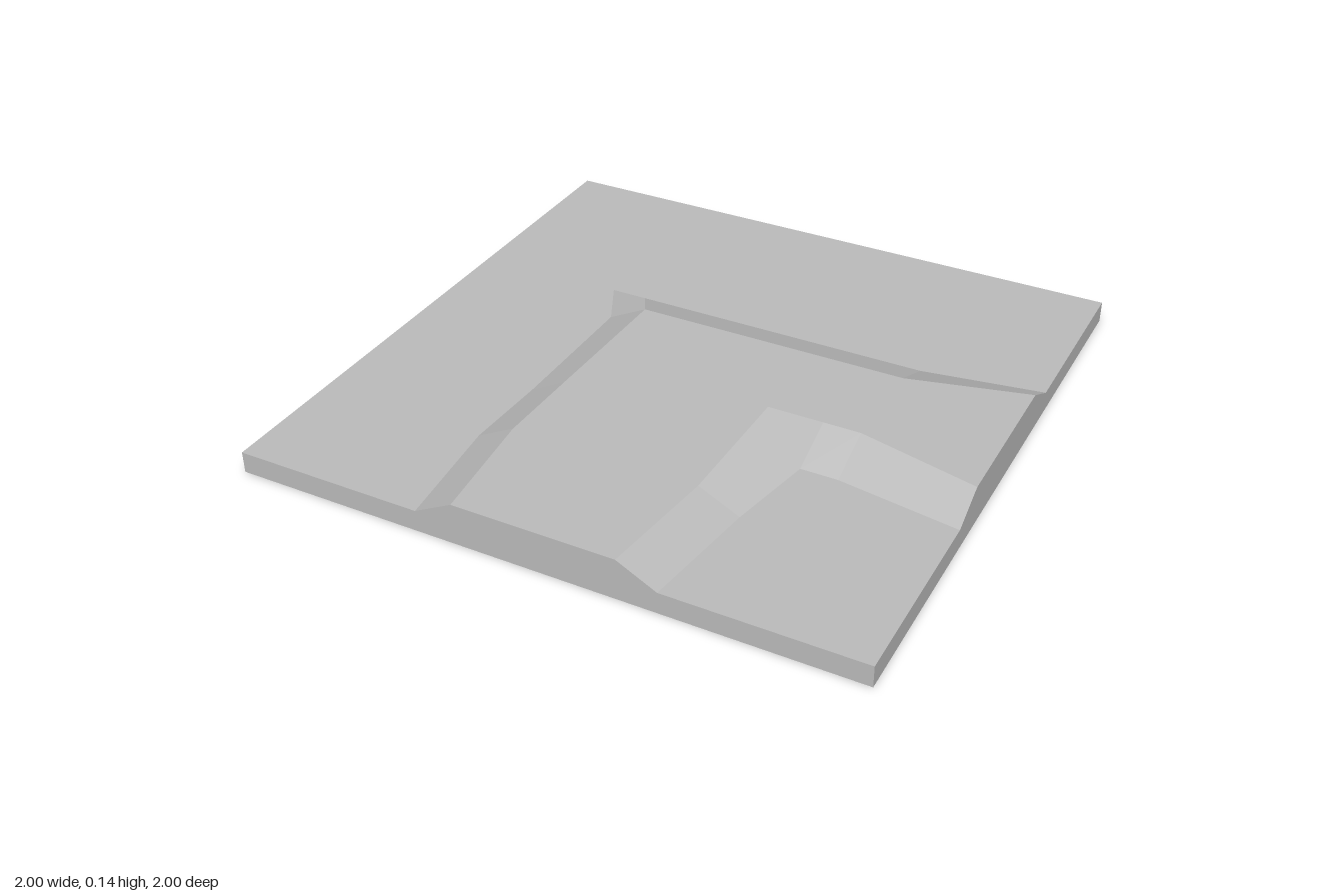
import * as THREE from 'three';

const LOW = 0.07, HIGH = 0.135;

// Outlines as [x, z]: crest of the embankment, and its foot on both sides
const westCrest = [[-0.26, 1], [-0.305, 0.61], [-0.3, 0.325], [-0.29, -0.165]];
const westFoot = [[-0.385, 1], [-0.43, 0.61], [-0.42, 0.325], [-0.42, -0.165]];
const cornerFoot = [[-0.5, -0.325], [-0.38, -0.325]];
const backCrest = [[-0.29, -0.165], [0.61, -0.165], [1, -0.26]];
const backFoot = [[-0.38, -0.325], [0.61, -0.325], [1, -0.385]];
const innerCrest = [[1, 0.26], [0.61, 0.165], [0.49, 0.165], [0.31, 0.165], [0.305, 0.61], [0.26, 1]];
const innerFoot = [[1, 0.385], [0.61, 0.325], [0.49, 0.325], [0.435, 0.61], [0.385, 1]];

// Flat face from a 2D outline
function face(points) {
  return new THREE.ShapeGeometry(new THREE.Shape(points.map(([a, b]) => new THREE.Vector2(a, b))));
}

// Horizontal face from an [x, z] outline
function level(points, y) {
  return face(points.map(([x, z]) => [x, -z])).rotateX(-Math.PI / 2).translate(0, y, 0);
}

// Slope facets: each polygon is a fan with one shared upward normal
function slopes(polygons) {
  const pos = [], nor = [];
  for (const poly of polygons) {
    let p = poly.map(([x, z, y]) => new THREE.Vector3(x, y, z));
    const n = new THREE.Vector3();
    p.forEach((v, i) => n.add(v.clone().cross(p[(i + 1) % p.length])));
    if (n.y < 0) {
      n.negate();
      p = [p[0], ...p.slice(1).reverse()];
    }
    n.normalize();
    for (let i = 1; i < p.length - 1; i++) {
      for (const v of [p[0], p[i], p[i + 1]]) {
        pos.push(v.x, v.y, v.z);
        nor.push(n.x, n.y, n.z);
      }
    }
  }
  const g = new THREE.BufferGeometry();
  g.setAttribute('position', new THREE.Float32BufferAttribute(pos, 3));
  g.setAttribute('normal', new THREE.Float32BufferAttribute(nor, 3));
  return g;
}

const hi = ([x, z]) => [x, z, HIGH];
const lo = ([x, z]) => [x, z, LOW];

// Quads joining a crest line to a foot line of the same length
function strip(crest, foot) {
  return crest.slice(1).map((c, i) => [hi(crest[i]), hi(c), lo(foot[i + 1]), lo(foot[i])]);
}

export function createModel() {
  const group = new THREE.Group();
  const grey = new THREE.MeshStandardMaterial({ color: 0xbcbcbc, side: THREE.DoubleSide });
  grey.name = 'grey';
  const add = (name, geometry) => {
    const mesh = new THREE.Mesh(geometry, grey);
    mesh.name = name;
    group.add(mesh);
  };

  // Ground on both sides and the raised way between
  add('outerGround', level([...westFoot, ...cornerFoot, ...backFoot.slice(1), [1, -1], [-1, -1], [-1, 1]], LOW));
  add('innerGround', level([...innerFoot, [1, 1]], LOW));
  add('raisedWay', level([...westCrest, ...backCrest.slice(1), ...innerCrest], HIGH));

  // Embankment slopes
  add('westSlope', slopes(strip(westCrest, westFoot)));
  add('cornerSlope', slopes([[hi(westCrest[3]), lo(westFoot[3]), ...cornerFoot.map(lo)]]));
  add('backSlope', slopes(strip(backCrest, backFoot)));
  add('innerSouthSlope', slopes(strip(innerCrest.slice(0, 3), innerFoot.slice(0, 3))));
  add('innerEastSlope', slopes([
    [hi(innerCrest[3]), hi(innerCrest[2]), lo(innerFoot[2]), lo(innerFoot[3]), hi(innerCrest[4])],
    ...strip(innerCrest.slice(4), innerFoot.slice(3)),
  ]));

  // Side walls; the front and right ones follow the embankment, the underside is open
  const plain = [[-1, 0], [1, 0], [1, LOW], [-1, LOW]];
  const humped = [[-1, 0], [1, 0], [1, LOW], [0.385, LOW], [0.26, HIGH], [-0.26, HIGH], [-0.385, LOW], [-1, LOW]];
  [['frontWall', humped], ['rightWall', humped], ['backWall', plain], ['leftWall', plain]].forEach(([name, outline], i) => {
    add(name, face(outline).translate(0, 0, 1).rotateY(i * Math.PI / 2));
  });
  return group;
}
